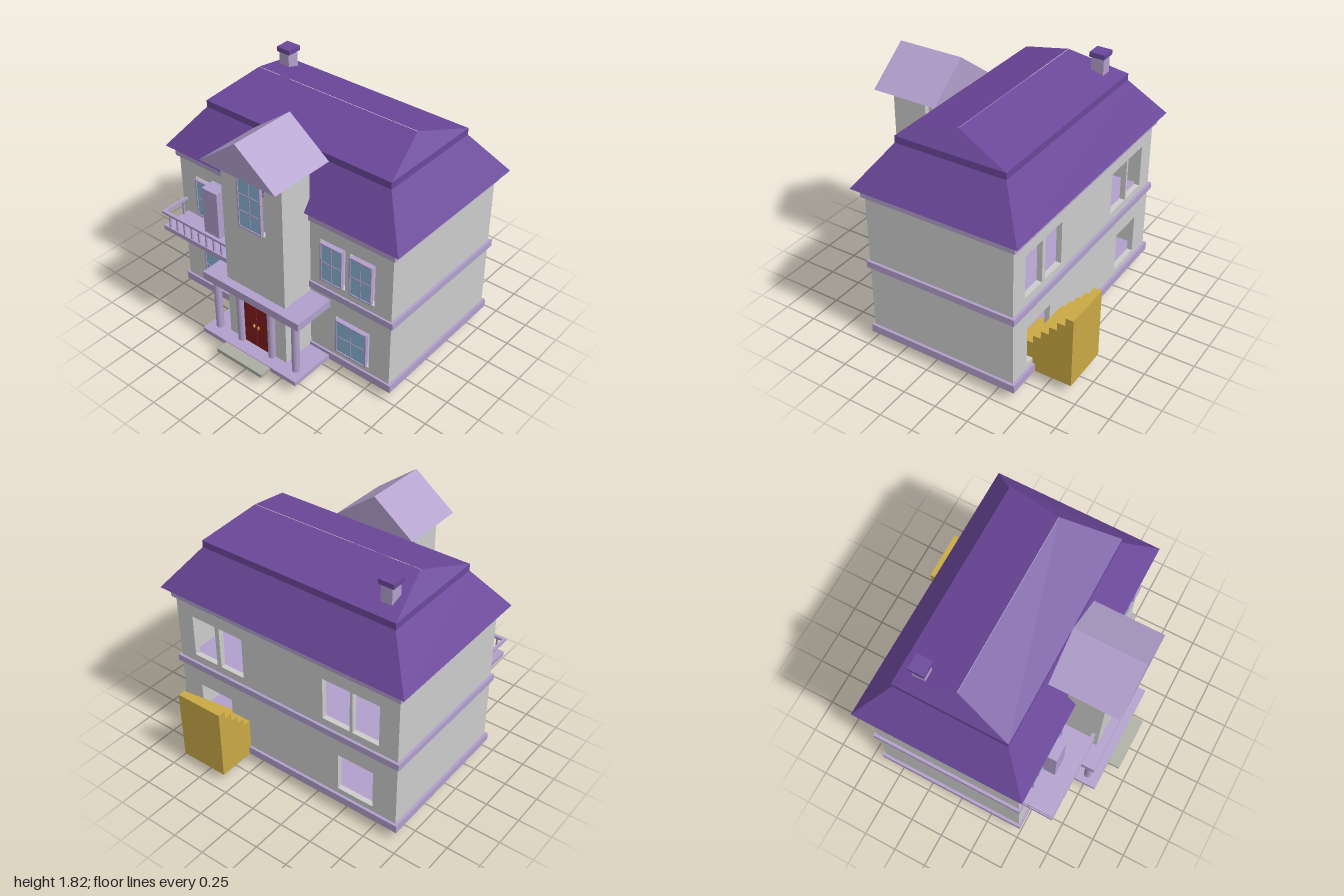
import * as THREE from 'three';

const mat = (color) => new THREE.MeshStandardMaterial({ color });
const M = {
  wall: mat(0xcccccc), trim: mat(0xb19fcb), roof: mat(0x6a4799), glass: mat(0x8ab6d6),
  door: mat(0x7f1d1d), gold: mat(0xc9a845), stone: mat(0xacada2),
};

function add(parent, name, geo, material) {
  const m = new THREE.Mesh(geo, material);
  m.name = name;
  parent.add(m);
  return m;
}

// Box given by its minimum and maximum on each axis
function box(parent, name, material, x0, x1, y0, y1, z0, z1) {
  const m = add(parent, name, new THREE.BoxGeometry(x1 - x0, y1 - y0, z1 - z0), material);
  m.position.set((x0 + x1) / 2, (y0 + y1) / 2, (z0 + z1) / 2);
  return m;
}

// Upright wall panel with rectangular openings [x0, x1, y0, y1]
function wallPanel(parent, name, rect, holes, z0, z1) {
  const trace = (p, [x0, x1, y0, y1]) =>
    p.moveTo(x0, y0).lineTo(x1, y0).lineTo(x1, y1).lineTo(x0, y1).closePath();
  const shape = new THREE.Shape();
  trace(shape, rect);
  for (const h of holes) {
    const p = new THREE.Path();
    trace(p, h);
    shape.holes.push(p);
  }
  const geo = new THREE.ExtrudeGeometry(shape, { depth: z1 - z0, bevelEnabled: false });
  add(parent, name, geo, M.wall).position.z = z0;
}

// Framed pane with glazing bars, standing proud of the wall at z
function windowUnit(parent, [x0, x1, y0, y1], z, rows) {
  const g = new THREE.Group();
  g.name = 'window';
  const f = 0.01, b = 0.004;
  box(g, 'windowBacking', M.trim, x0, x1, y0, y1, z, z + 0.015);
  box(g, 'windowGlass', M.glass, x0 + f, x1 - f, y0 + f, y1 - f, z + 0.01, z + 0.018);
  for (const [a, c] of [[x0, x0 + f], [x1 - f, x1]])
    box(g, 'windowFrameSide', M.trim, a, c, y0, y1, z, z + 0.025);
  for (const [a, c] of [[y0, y0 + f], [y1 - f, y1]])
    box(g, 'windowFrameRail', M.trim, x0, x1, a, c, z, z + 0.025);
  const xm = (x0 + x1) / 2;
  box(g, 'glazingBar', M.trim, xm - b, xm + b, y0, y1, z, z + 0.022);
  for (let i = 1; i < rows; i++) {
    const y = y0 + (y1 - y0) * i / rows;
    box(g, 'glazingBar', M.trim, x0, x1, y - b, y + b, z, z + 0.022);
  }
  parent.add(g);
}

// Roof lofted through rectangles [halfX, zBack, zFront, y]
function roofGeometry(rings) {
  const pos = [];
  const corners = rings.map(([x, zb, zf, y]) =>
    [[-x, y, zf], [x, y, zf], [x, y, zb], [-x, y, zb]]);
  for (let r = 0; r < corners.length - 1; r++) {
    for (let i = 0; i < 4; i++) {
      const j = (i + 1) % 4;
      const a = corners[r][i], b = corners[r][j], c = corners[r + 1][j], d = corners[r + 1][i];
      pos.push(...a, ...b, ...c, ...a, ...c, ...d);
    }
  }
  const [a, b, c, d] = corners[0];
  pos.push(...a, ...c, ...b, ...a, ...d, ...c);
  const geo = new THREE.BufferGeometry();
  geo.setAttribute('position', new THREE.Float32BufferAttribute(pos, 3));
  geo.computeVertexNormals();
  return geo;
}

export function createModel() {
  const house = new THREE.Group();
  house.name = 'house';

  // Hollow main block with matching openings front and back
  const panes = [
    [0.36, 0.54, 0.75, 1.05], [0.6, 0.78, 0.75, 1.05],
    [-0.54, -0.345, 0.75, 1.05], [-0.77, -0.585, 0.75, 1.05],
    [-0.73, -0.47, 0.195, 0.47], [0.49, 0.75, 0.195, 0.47],
  ];
  const m = 0.012;
  const holes = panes.map(([a, b, c, d]) => [a - m, b + m, c - m, d + m]);
  wallPanel(house, 'frontWall', [-0.93, 0.93, 0.08, 1.2], holes, 0.44, 0.48);
  wallPanel(house, 'backWall', [-0.93, 0.93, 0.08, 1.2], holes, -0.64, -0.6);
  for (const s of [-1, 1])
    box(house, 'sideWall', M.wall, s * 0.91 - 0.02, s * 0.91 + 0.02, 0.08, 1.2, -0.6, 0.44);
  for (const p of panes) windowUnit(house, p, 0.48, 2);

  // Floor slabs showing as bands around the block
  box(house, 'groundBand', M.trim, -0.95, 0.95, 0.08, 0.14, -0.66, 0.495);
  box(house, 'middleBand', M.trim, -0.95, 0.95, 0.63, 0.68, -0.66, 0.495);
  box(house, 'eavesBand', M.trim, -0.95, 0.95, 1.18, 1.26, -0.665, 0.5);
  box(house, 'underside', M.wall, -0.93, 0.93, 0.077, 0.09, -0.64, 0.48);
  box(house, 'floorPanel', M.door, -0.85, 0.88, 0.075, 0.085, 0.08, 0.475);

  // Mansard roof with a hipped cap
  add(house, 'mainRoof', roofGeometry([
    [1, -0.71, 0.54, 1.255], [0.78, -0.495, 0.33, 1.55],
    [0.78, -0.495, 0.33, 1.6], [0.67, -0.082, -0.078, 1.725],
  ]), M.roof);

  // Chimney
  box(house, 'chimneyStack', M.trim, -0.68, -0.595, 1.55, 1.755, -0.395, -0.3);
  box(house, 'chimneyCap', M.roof, -0.695, -0.58, 1.755, 1.79, -0.405, -0.29);

  // Entrance tower, open towards the house
  const tower = new THREE.Group();
  tower.name = 'tower';
  house.add(tower);
  wallPanel(tower, 'towerFront', [-0.26, 0.26, 0.08, 1.58],
    [[-0.112, 0.112, 1.105, 1.52], [-0.115, 0.115, 0.115, 0.5]], 0.7, 0.74);
  for (const s of [-1, 1])
    box(tower, 'towerSide', M.wall, s * 0.24 - 0.02, s * 0.24 + 0.02, 0.08, 1.58, 0.48, 0.7);
  box(tower, 'towerBase', M.wall, -0.26, 0.26, 0, 0.08, 0.48, 0.74);
  windowUnit(tower, [-0.1, 0.1, 1.115, 1.505], 0.742, 3);

  // Gable over the tower
  const gable = new THREE.Shape([
    new THREE.Vector2(-0.318, 1.575), new THREE.Vector2(0.318, 1.575), new THREE.Vector2(0, 1.815)]);
  add(tower, 'towerGable', new THREE.ExtrudeGeometry(gable, { depth: 0.5, bevelEnabled: false }),
    M.trim).position.z = 0.36;

  // Porch: platform, step, canopy, columns
  const porch = new THREE.Group();
  porch.name = 'porch';
  house.add(porch);
  box(porch, 'porchPlatform', M.trim, -0.43, 0.43, 0.08, 0.115, 0.48, 0.845);
  box(porch, 'porchStep', M.stone, -0.205, 0.205, 0.081, 0.11, 0.845, 0.935);
  box(porch, 'porchCanopy', M.trim, -0.43, 0.43, 0.535, 0.595, 0.48, 0.805);
  for (const x of [-0.355, -0.14, 0.14, 0.355])
    add(porch, 'column', new THREE.CylinderGeometry(0.028, 0.028, 0.42, 20), M.trim)
      .position.set(x, 0.325, 0.75);

  // Double door with handles
  for (const s of [-1, 1]) {
    box(porch, 'doorLeaf', M.door, s * 0.0585 - 0.0555, s * 0.0585 + 0.0555, 0.115, 0.497, 0.715, 0.745);
    const handle = add(porch, 'doorHandle', new THREE.SphereGeometry(0.008, 10, 8), M.gold);
    handle.scale.y = 2.2;
    handle.position.set(s * 0.02, 0.295, 0.75);
  }

  // Balcony with railing and a tall pier between its windows
  const balcony = new THREE.Group();
  balcony.name = 'balcony';
  house.add(balcony);
  box(balcony, 'balconyFloor', M.trim, -0.895, -0.26, 0.685, 0.72, 0.48, 0.715);
  box(balcony, 'frontRail', M.trim, -0.905, -0.26, 0.82, 0.838, 0.69, 0.715);
  box(balcony, 'sideRail', M.trim, -0.905, -0.885, 0.82, 0.838, 0.48, 0.69);
  const baluster = (x, z) =>
    box(balcony, 'baluster', M.trim, x - 0.006, x + 0.006, 0.72, 0.82, z - 0.006, z + 0.006);
  for (let i = 0; i < 9; i++) baluster(-0.84 + i * 0.071, 0.702);
  baluster(-0.885, 0.53);
  box(balcony, 'balconyPier', M.trim, -0.615, -0.475, 0.72, 1.095, 0.48, 0.59);

  // Staircase rising through the back wall
  for (let i = 0; i < 9; i++) {
    const z = -0.407 - i * 0.0585;
    box(house, 'stairStep', M.gold, 0.32, 0.69, 0.078, 0.125 + i * 0.0612, z - 0.0585, z);
  }
  return house;
}
